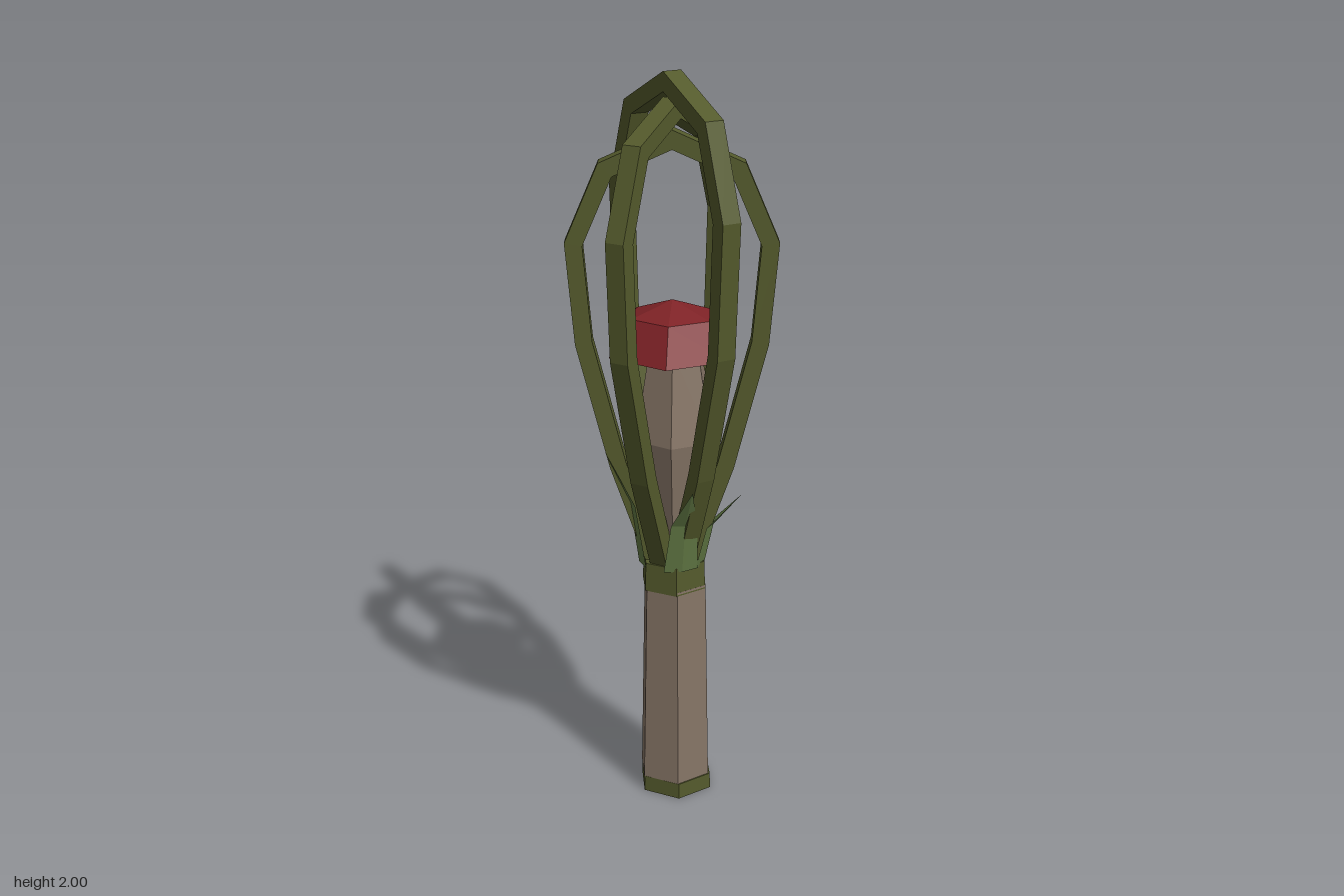
import * as THREE from 'three';

const mat = (name, color, extra = {}) => {
  const m = new THREE.MeshStandardMaterial({ color, ...extra });
  m.name = name;
  return m;
};

export function createModel() {
  const group = new THREE.Group();
  const olive = mat('olive', 0x545a2c, { flatShading: true });
  const bark = mat('pale bark', 0x867566, { flatShading: true });
  const red = mat('cap red', 0x7e2226, { flatShading: true });
  const leafGreen = mat('leaf green', 0x637a45, { flatShading: true, side: THREE.DoubleSide });

  const add = (name, geometry, material, x = 0, y = 0, z = 0) => {
    const mesh = new THREE.Mesh(geometry, material);
    mesh.name = name;
    mesh.position.set(x, y, z);
    group.add(mesh);
    return mesh;
  };

  // Six-sided tapering handle with a band at each end
  const tube = (name, r0, r1, y0, y1, material, x) =>
    add(name, new THREE.CylinderGeometry(r1, r0, y1 - y0, 6), material, x, (y0 + y1) / 2);
  tube('endBand', 0.107, 0.106, 0, 0.045, olive, 0.011);
  tube('handle', 0.104, 0.092, 0.04, 0.63, bark, 0.008);
  tube('collar', 0.094, 0.091, 0.62, 0.7, olive, 0.005);

  // Whisk loops: a ribbon outline with mitred corners, extruded to its width
  const ribbon = (half, thickness, width) => {
    const line = [...half, ...half.slice(0, -1).reverse().map(([x, y]) => [-x, y])]
      .map(([x, y]) => new THREE.Vector2(x, y));
    const side = (sign) => line.map((p, i) => {
      const a = p.clone().sub(line[Math.max(i - 1, 0)]).normalize();
      const b = line[Math.min(i + 1, line.length - 1)].clone().sub(p).normalize();
      const t = a.clone().add(b).normalize();
      const cosHalf = Math.max(t.dot(i ? a : b), 0.5);
      return p.clone().addScaledVector(new THREE.Vector2(t.y, -t.x), sign * thickness / 2 / cosHalf);
    });
    const shape = new THREE.Shape([...side(1), ...side(-1).reverse()]);
    return new THREE.ExtrudeGeometry(shape, { depth: width, bevelEnabled: false })
      .translate(0, 0, -width / 2);
  };
  const loops = [
    { name: 'lowLoop', dir: [0.275, 0.021],
      half: [[0.045, 0.69], [0.142, 0.97], [0.228, 1.31], [0.25, 1.57], [0.168, 1.76], [0, 1.835]] },
    { name: 'middleLoop', dir: [0.157, -0.222],
      half: [[0.045, 0.69], [0.145, 0.97], [0.235, 1.32], [0.25, 1.62], [0.172, 1.83], [0, 1.91]] },
    { name: 'highLoop', dir: [0.122, 0.245],
      half: [[0.045, 0.69], [0.147, 0.98], [0.238, 1.33], [0.256, 1.67], [0.178, 1.89], [0, 1.976]] },
  ];
  for (const { name, dir, half } of loops) {
    add(name, ribbon(half, 0.045, 0.052), olive).rotation.y = -Math.atan2(dir[1], dir[0]);
  }

  // Mushroom inside the whisk
  const lathe = (points) =>
    new THREE.LatheGeometry(points.map(([r, y]) => new THREE.Vector2(r, y)), 6);
  const stem = add('mushroomStem',
    lathe([[0, 0.69], [0.055, 0.7], [0.115, 1.05], [0.072, 1.3]]), bark, 0.008);
  const cap = add('mushroomCap',
    lathe([[0.179, 1.29], [0.115, 1.385], [0, 1.425]]), red, 0, 0, 0.015);
  const gills = add('mushroomUnderside', lathe([[0, 1.292], [0.179, 1.29]]), bark, 0, 0, 0.015);
  for (const part of [stem, cap, gills]) part.rotation.y = -0.17;

  // Pointed leaves around the collar, each given by its tip
  const leaf = (tip) => {
    const a = Math.atan2(tip[2], tip[0]);
    const at = (r, y, s) => [
      r * Math.cos(a) - s * Math.sin(a), y, r * Math.sin(a) + s * Math.cos(a)];
    const g = new THREE.BufferGeometry();
    const midY = 0.69 + (tip[1] - 0.69) * 0.55;
    const points = [
      at(0.078, 0.69, -0.048), at(0.078, 0.69, 0.048),
      at(0.105, midY, -0.036), at(0.105, midY, 0.036),
      at(0.115, midY, 0), tip, at(0.09, 0.69, 0),
    ];
    g.setAttribute('position', new THREE.Float32BufferAttribute(points.flat(), 3));
    g.setIndex([0, 2, 6, 6, 2, 4, 6, 4, 1, 1, 4, 3, 2, 5, 4, 4, 5, 3]);
    g.computeVertexNormals();
    return g;
  };
  const tips = [
    [-0.033, 0.92, -0.188], [0.075, 0.94, -0.168], [0.15, 1.09, -0.13],
    [0.18, 0.9, 0.065], [0.04, 0.95, 0.172], [-0.178, 1.01, 0.015],
  ];
  tips.forEach((tip, i) => add('leaf' + (i + 1), leaf(tip), leafGreen));

  return group;
}
